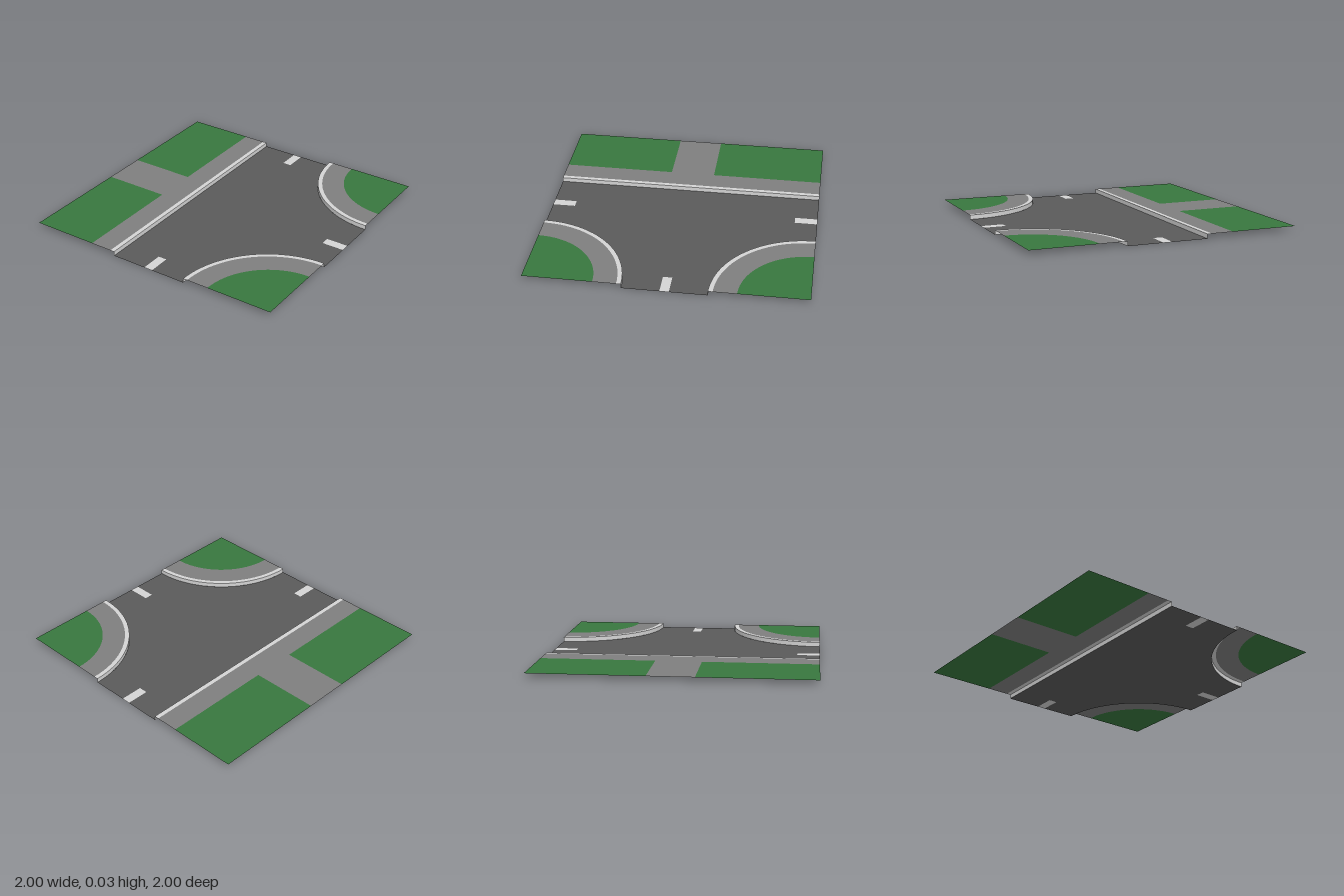
import * as THREE from 'three';

const H = 0.033;      // raised kerb height
const EDGE = 0.3;     // half width of the carriageway
const KERB = 0.333;   // back edge of the kerb stripe
const WALK = 0.5;     // back edge of the pavement
const DASH = 0.033;   // half width of a lane dash
const DASH_END = 0.833;
const PATH = 0.167;   // half width of the side path
const SEG = 24;

function material(name, color) {
  const m = new THREE.MeshStandardMaterial({ color, side: THREE.DoubleSide });
  m.name = name;
  return m;
}

export function createModel() {
  const asphalt = material('asphalt', 0x5a5a5a);
  const pavement = material('pavement', 0x7e7e7e);
  const paint = material('kerb and paint', 0xd4d4d4);
  const grass = material('grass', 0x38773e);

  const group = new THREE.Group();
  group.name = 'roadJunction';

  function add(name, geometry, mat, x = 0, y = 0, z = 0) {
    const mesh = new THREE.Mesh(geometry, mat);
    mesh.name = name;
    mesh.position.set(x, y, z);
    group.add(mesh);
  }

  // Horizontal sheet spanning x0..x1, z0..z1
  function sheet(name, mat, x0, x1, z0, z1, y) {
    const g = new THREE.PlaneGeometry(x1 - x0, z1 - z0).rotateX(-Math.PI / 2);
    add(name, g, mat, (x0 + x1) / 2, y, (z0 + z1) / 2);
  }

  // Carriageway: rounded corners, with notches where the dashes sit
  const road = new THREE.Shape();
  road.moveTo(-EDGE, -1);
  road.lineTo(-DASH, -1);
  road.lineTo(-DASH, -DASH_END);
  road.lineTo(DASH, -DASH_END);
  road.lineTo(DASH, -1);
  road.lineTo(EDGE, -1);
  road.absarc(1, -1, 1 - EDGE, Math.PI, Math.PI / 2, true);
  road.lineTo(1, -DASH);
  road.lineTo(DASH_END, -DASH);
  road.lineTo(DASH_END, DASH);
  road.lineTo(1, DASH);
  road.lineTo(1, EDGE);
  road.absarc(1, 1, 1 - EDGE, Math.PI * 1.5, Math.PI, true);
  road.lineTo(DASH, 1);
  road.lineTo(DASH, DASH_END);
  road.lineTo(-DASH, DASH_END);
  road.lineTo(-DASH, 1);
  road.lineTo(-EDGE, 1);
  road.closePath();
  add('carriageway', new THREE.ShapeGeometry(road, SEG).rotateX(-Math.PI / 2), asphalt);

  // Lane dashes
  sheet('frontDash', paint, -DASH, DASH, DASH_END, 1, 0);
  sheet('backDash', paint, -DASH, DASH, -1, -DASH_END, 0);
  sheet('sideDash', paint, DASH_END, 1, -DASH, DASH, 0);

  // Straight side: kerb, pavement, path and lawns
  sheet('straightKerbTop', paint, -KERB, -EDGE, -1, 1, H);
  add('straightKerbFace', new THREE.PlaneGeometry(2, H).rotateY(Math.PI / 2), paint, -EDGE, H / 2, 0);
  sheet('straightPavement', pavement, -WALK, -KERB, -1, 1, H);
  sheet('sidePath', pavement, -1, -WALK, -PATH, PATH, H);
  sheet('frontLawn', grass, -1, -WALK, PATH, 1, H);
  sheet('backLawn', grass, -1, -WALK, -1, -PATH, H);

  // Rounded corners: kerb, pavement and lawn as quarter rings
  const quarter = Math.PI / 2;
  for (const side of [1, -1]) {
    const label = side > 0 ? 'front' : 'back';
    const start = side > 0 ? quarter : Math.PI;
    const ring = (inner, outer) =>
      new THREE.RingGeometry(inner, outer, SEG, 1, start, quarter).rotateX(-quarter);
    add(label + 'CornerKerbTop', ring(1 - KERB, 1 - EDGE), paint, 1, H, side);
    add(label + 'CornerPavement', ring(1 - WALK, 1 - KERB), pavement, 1, H, side);
    add(label + 'CornerLawn',
      new THREE.CircleGeometry(1 - WALK, SEG, start, quarter).rotateX(-quarter), grass, 1, H, side);
    const faceStart = side > 0 ? Math.PI : Math.PI * 1.5;
    add(label + 'CornerKerbFace',
      new THREE.CylinderGeometry(1 - EDGE, 1 - EDGE, H, SEG, 1, true, faceStart, quarter),
      paint, 1, H / 2, side);
  }

  return group;
}
